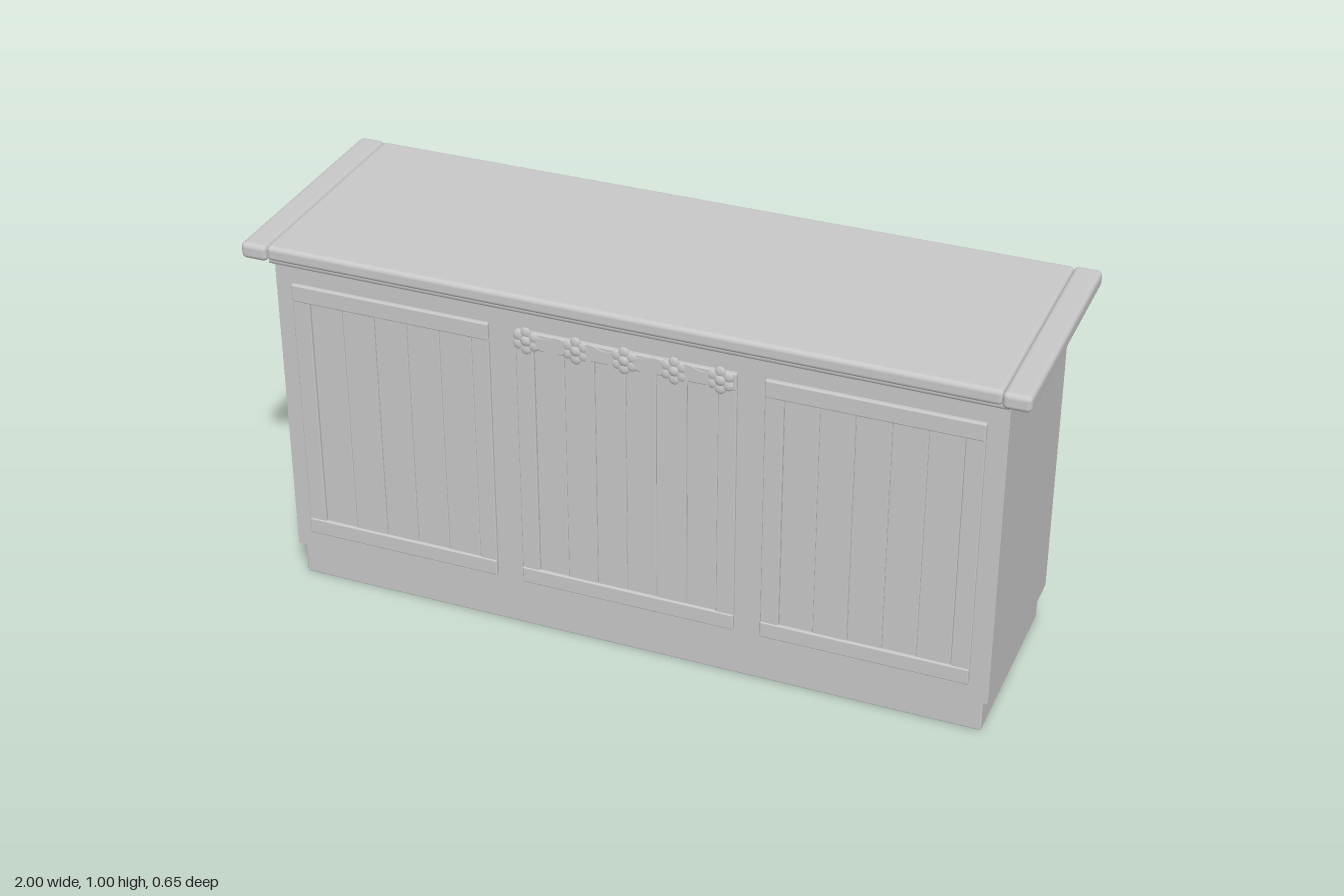
import * as THREE from 'three';
import { RoundedBoxGeometry } from 'three/addons/geometries/RoundedBoxGeometry.js';

export function createModel() {
  const model = new THREE.Group();
  model.name = 'counter';
  const grey = new THREE.MeshStandardMaterial({ color: 0xc8c8c8 });
  grey.name = 'plain grey';

  const add = (name, geometry, parent = model) => {
    const mesh = new THREE.Mesh(geometry, grey);
    mesh.name = name;
    parent.add(mesh);
    return mesh;
  };
  // Box given by its limits on each axis, with optional rounded edges
  const box = (name, [x0, x1], [y0, y1], [z0, z1], round = 0, parent = model) => {
    const size = [x1 - x0, y1 - y0, z1 - z0];
    const geometry = round ? new RoundedBoxGeometry(...size, 3, round) : new THREE.BoxGeometry(...size);
    const mesh = add(name, geometry, parent);
    mesh.position.set((x0 + x1) / 2, (y0 + y1) / 2, (z0 + z1) / 2);
    return mesh;
  };

  // Plinth and worktop with breadboard ends
  box('plinth', [-0.925, 0.925], [0, 0.096], [-0.258, 0.258], 0.004);
  box('worktop', [-0.932, 0.932], [0.96, 1], [-0.32, 0.32], 0.012);
  for (const s of [-1, 1]) {
    box('worktopEnd', s < 0 ? [-1, -0.93] : [0.93, 1], [0.957, 1], [-0.325, 0.325], 0.013);
    box('sidePanel', s < 0 ? [-0.94, -0.922] : [0.922, 0.94], [0.094, 0.96], [-0.27, 0.269], 0.003);
  }
  box('frontPanel', [-0.938, 0.938], [0.094, 0.96], [0.25, 0.27]);

  // Moulding under the front edge of the worktop
  const bead = add('frontMoulding', new THREE.CylinderGeometry(0.012, 0.012, 1.884, 16));
  bead.rotation.z = Math.PI / 2;
  bead.position.set(0, 0.946, 0.28);
  box('mouldingBacking', [-0.94, 0.94], [0.945, 0.96], [0.24, 0.283]);

  // Open pigeonholes in the back: 7 columns by 4 rows
  const cubbies = new THREE.Group();
  cubbies.name = 'pigeonholes';
  model.add(cubbies);
  for (let i = 1; i < 7; i++) {
    const x = -0.931 + (i * 1.862) / 7;
    box('divider', [x - 0.008, x + 0.008], [0.096, 0.96], [-0.264, 0.25], 0, cubbies);
  }
  for (let j = 0; j < 4; j++) {
    const y = 0.103 + j * 0.214;
    box('shelf', [-0.924, 0.924], [y - 0.009, y + 0.009], [-0.268, 0.25], 0.003, cubbies);
  }

  // Framed plank doors; planks differ slightly in depth
  const planked = (name, x0, x1, count) => {
    const door = new THREE.Group();
    door.name = name;
    model.add(door);
    box('topRail', [x0, x1], [0.835, 0.882], [0.265, 0.281], 0.004, door);
    box('bottomRail', [x0, x1], [0.145, 0.19], [0.265, 0.281], 0.004, door);
    box('leftStile', [x1 - 0.047, x1], [0.188, 0.837], [0.265, 0.278], 0.003, door);
    box('rightStile', [x0, x0 + 0.047], [0.188, 0.837], [0.265, 0.278], 0.003, door);
    const inner = x0 + 0.047, pitch = (x1 - x0 - 0.094) / count;
    for (let i = 0; i < count; i++) {
      const left = inner + i * pitch;
      const front = 0.273 + 0.001 * ((i * 2) % 3);
      box('plank', [left + 0.001, left + pitch - 0.001], [0.186, 0.839], [0.265, front], 0.002, door);
    }
  };
  planked('rightDoor', -0.893, -0.357, 5);
  planked('middleDoor', -0.285, 0.285, 6);
  planked('leftDoor', 0.355, 0.89, 5);

  // Carved garland on the middle door: wavy band with rosettes
  const garland = new THREE.Group();
  garland.name = 'garland';
  model.add(garland);
  const band = new THREE.Shape();
  const wave = (x, phase) => 0.005 * Math.sin(x * 75 + phase);
  const steps = 48;
  for (let i = 0; i <= steps; i++) {
    const x = -0.27 + (0.54 * i) / steps;
    if (i) band.lineTo(x, 0.84 + wave(x, 0));
    else band.moveTo(x, 0.84 + wave(x, 0));
  }
  for (let i = steps; i >= 0; i--) {
    const x = -0.27 + (0.54 * i) / steps;
    band.lineTo(x, 0.877 + wave(x, 2));
  }
  const strip = add('garlandBand', new THREE.ExtrudeGeometry(band, { depth: 0.006, bevelEnabled: false }), garland);
  strip.position.z = 0.278;

  const dome = new THREE.SphereGeometry(1, 14, 8);
  const blob = (name, x, y, radius, depth) => {
    const mesh = add(name, dome, garland);
    mesh.position.set(x, y, 0.281);
    mesh.scale.set(radius, radius, depth);
  };
  for (const x of [-0.255, -0.125, 0, 0.128, 0.245]) {
    blob('rosetteCentre', x, 0.858, 0.015, 0.008);
    for (let k = 0; k < 6; k++) {
      const a = (k * Math.PI) / 3 + Math.PI / 6;
      blob('rosettePetal', x + 0.023 * Math.cos(a), 0.858 + 0.023 * Math.sin(a), 0.014, 0.005);
    }
  }
  return model;
}
